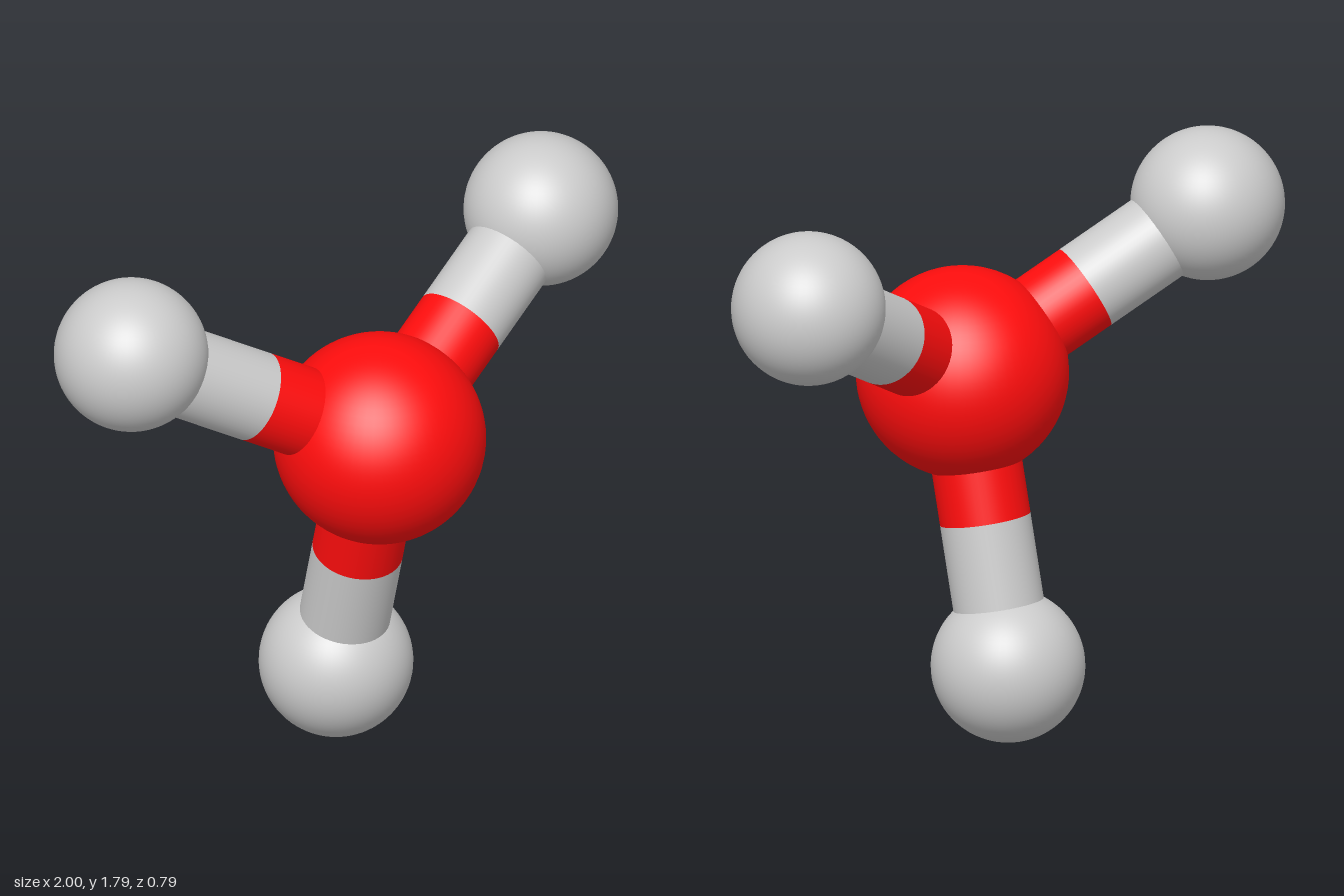
import * as THREE from 'three';

const RED = new THREE.MeshStandardMaterial({ color: 0xff0d0d });
const GREY = new THREE.MeshStandardMaterial({ color: 0xcccccc });

function ball(name, center, radius, material) {
  const mesh = new THREE.Mesh(new THREE.SphereGeometry(radius, 64, 40), material);
  mesh.name = name;
  mesh.position.copy(center);
  return mesh;
}

// Round rod running from one point to another
function rod(name, from, to, radius, material) {
  const axis = to.clone().sub(from);
  const mesh = new THREE.Mesh(new THREE.CylinderGeometry(radius, radius, axis.length(), 48), material);
  mesh.name = name;
  mesh.position.lerpVectors(from, to, 0.5);
  mesh.quaternion.setFromUnitVectors(new THREE.Vector3(0, 1, 0), axis.normalize());
  return mesh;
}

export function createModel() {
  const model = new THREE.Group();
  model.name = 'molecule';

  // Central atom
  const center = new THREE.Vector3(0, 1.122, 0.067);
  model.add(ball('centralAtom', center, 0.324, RED));

  // Three outer atoms, evenly spread around z and set back, each on a two-coloured bond
  const spread = 0.883, outerZ = -0.16;
  const arms = { left: Math.PI / 6, right: Math.PI * 5 / 6, bottom: -Math.PI / 2 };
  for (const [side, angle] of Object.entries(arms)) {
    const end = new THREE.Vector3(
      Math.cos(angle) * spread, center.y + Math.sin(angle) * spread, outerZ);
    const middle = center.clone().lerp(end, 0.5);
    const arm = new THREE.Group();
    arm.name = side + 'Arm';
    arm.add(
      rod(side + 'InnerBond', center, middle, 0.139, RED),
      rod(side + 'OuterBond', middle, end, 0.139, GREY),
      ball(side + 'OuterAtom', end, 0.235, GREY),
    );
    model.add(arm);
  }
  return model;
}
